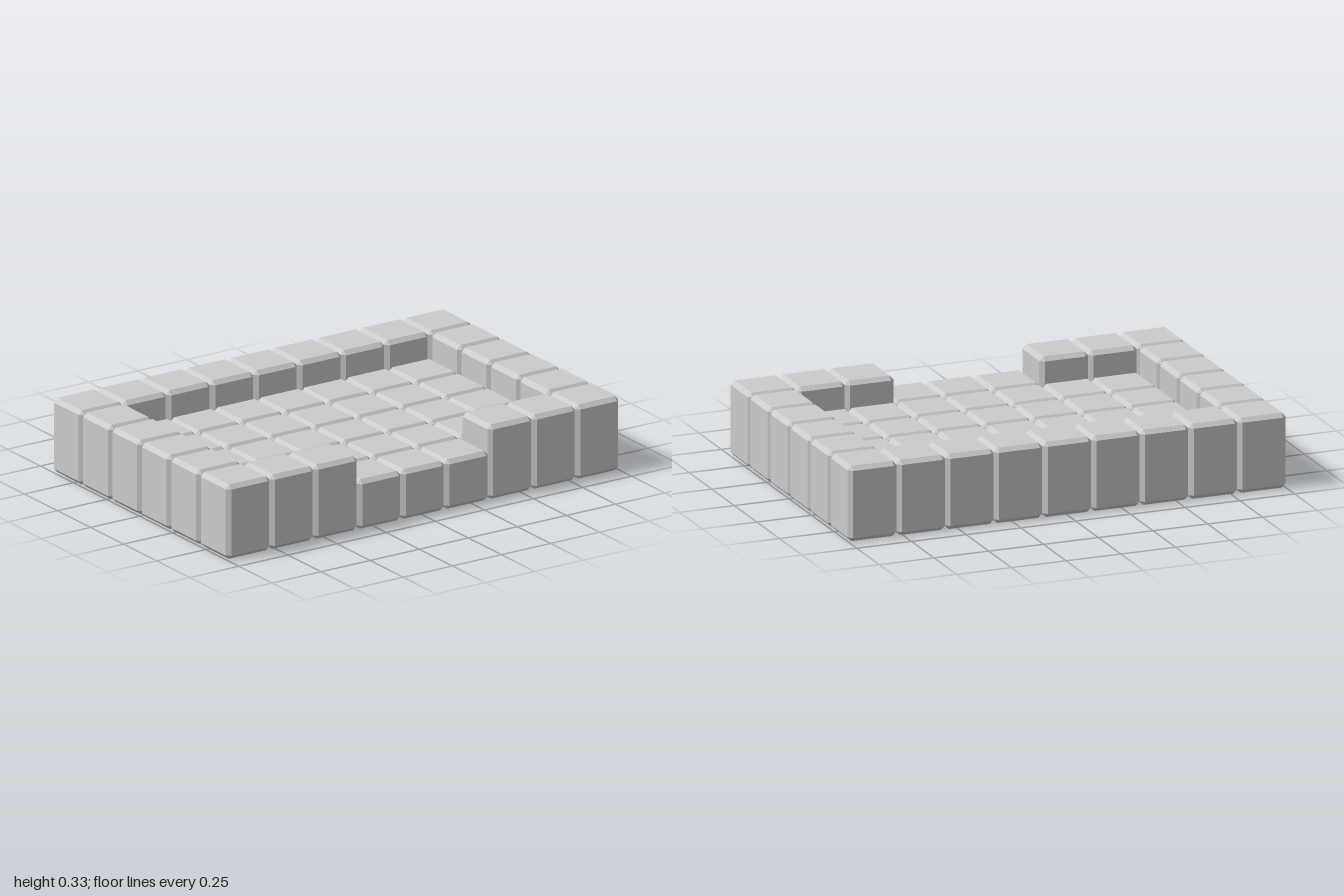
import * as THREE from 'three';
import { ConvexGeometry } from 'three/addons/geometries/ConvexGeometry.js';

const COLS = 9, ROWS = 6;
const PITCH = 2 / COLS;
const LOW = PITCH, TALL = PITCH * 1.5;
const BEVEL = 0.018;

// Box standing on y = 0 with all edges chamfered
function chamferedBlock(size, height) {
  const half = [size / 2, height / 2, size / 2];
  const points = [];
  for (const sx of [-1, 1]) for (const sy of [-1, 1]) for (const sz of [-1, 1]) {
    // Each corner becomes three points, one on each face
    for (let face = 0; face < 3; face++) {
      const [x, y, z] = half.map((h, axis) => (axis === face ? h : h - BEVEL));
      points.push(new THREE.Vector3(sx * x, sy * y + height / 2, sz * z));
    }
  }
  return new ConvexGeometry(points);
}

export function createModel() {
  const group = new THREE.Group();
  group.name = 'walledBlockPlatform';
  const material = new THREE.MeshStandardMaterial({ color: 0xcccccc, flatShading: true });
  const floorGeometry = chamferedBlock(PITCH, LOW);
  const wallGeometry = chamferedBlock(PITCH, TALL);

  const floor = new THREE.Group();
  floor.name = 'floor';
  const wall = new THREE.Group();
  wall.name = 'wall';
  group.add(floor, wall);

  for (let row = 0; row < ROWS; row++) {
    for (let col = 0; col < COLS; col++) {
      // Tall blocks ring the floor, with a three-block opening at the front
      const border = row === 0 || row === ROWS - 1 || col === 0 || col === COLS - 1;
      const opening = row === ROWS - 1 && col >= 3 && col <= 5;
      const tall = border && !opening;
      const block = new THREE.Mesh(tall ? wallGeometry : floorGeometry, material);
      block.name = tall ? 'wallBlock' : opening ? 'entranceBlock' : 'floorBlock';
      block.position.set((col - (COLS - 1) / 2) * PITCH, 0, (row - (ROWS - 1) / 2) * PITCH);
      (tall ? wall : floor).add(block);
    }
  }
  return group;
}
